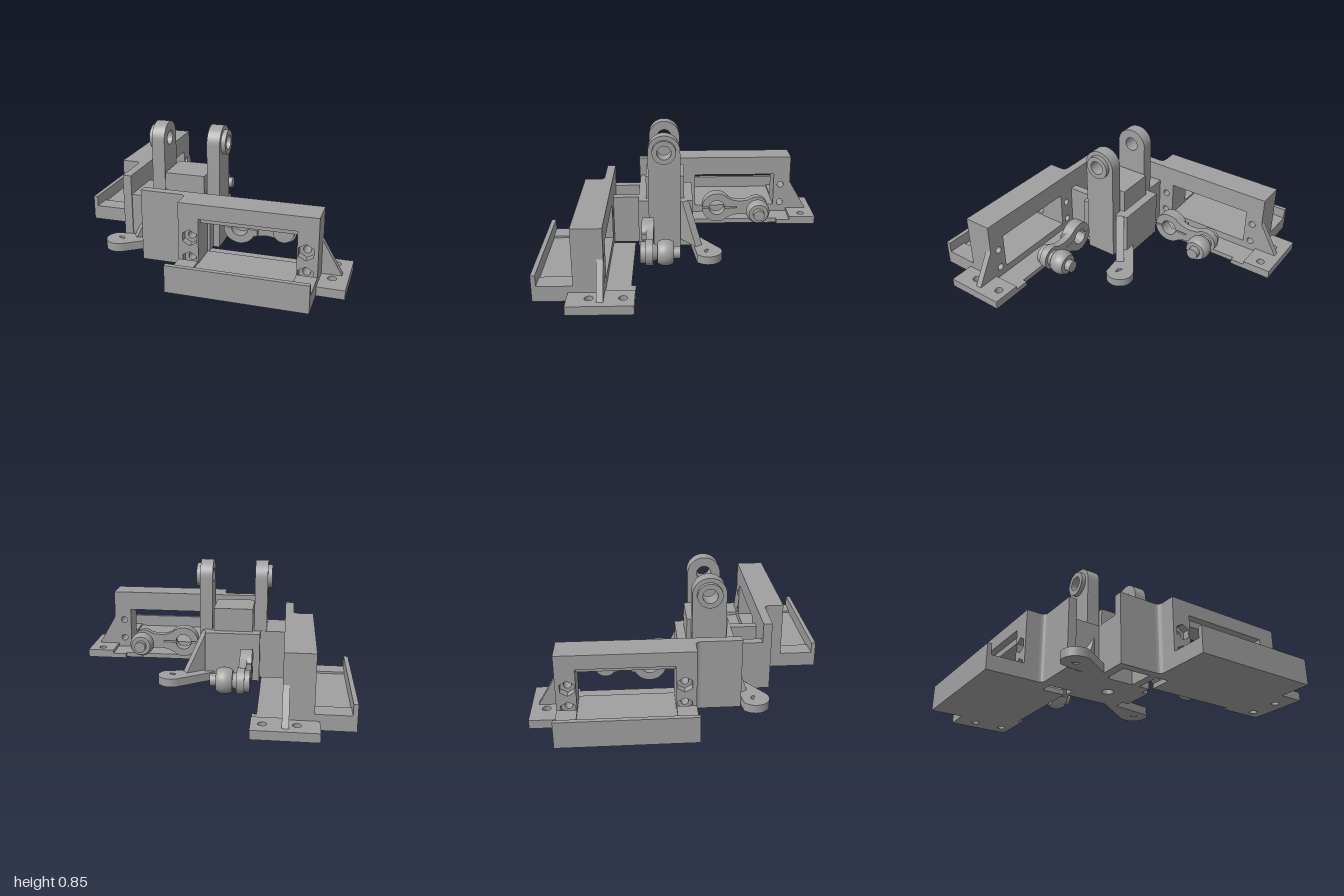
import * as THREE from 'three';
import { toCreasedNormals } from 'three/addons/utils/BufferGeometryUtils.js';

const material = new THREE.MeshStandardMaterial({ color: 0xa0a0a0 });
material.name = 'plastic grey';

// ---- geometry helpers ----
function box(x0, x1, y0, y1, z0, z1) {
  return new THREE.BoxGeometry(x1 - x0, y1 - y0, z1 - z0)
    .translate((x0 + x1) / 2, (y0 + y1) / 2, (z0 + z1) / 2);
}
function poly(points) {
  return new THREE.Shape(points.map(p => new THREE.Vector2(p[0], p[1])));
}
function rect(x0, x1, y0, y1) {
  return poly([[x0, y0], [x1, y0], [x1, y1], [x0, y1]]);
}
function circle(x, y, r) {
  return new THREE.Shape().absarc(x, y, r, 0, Math.PI * 2, false);
}
function hexagon(x, y, r) {
  return poly([0, 1, 2, 3, 4, 5].map(i => {
    const a = Math.PI / 6 + i * Math.PI / 3;
    return [x + r * Math.cos(a), y + r * Math.sin(a)];
  }));
}
function holed(shape, ...holes) {
  shape.holes.push(...holes);
  return shape;
}
// shape drawn in x, y and extruded from z0 to z1
function alongZ(shape, z0, z1) {
  return new THREE.ExtrudeGeometry(shape, { depth: z1 - z0, bevelEnabled: false, curveSegments: 20 })
    .translate(0, 0, z0);
}
// shape drawn in x, -z and extruded upwards
function alongY(shape, y0, y1) {
  return alongZ(shape, y0, y1).rotateX(-Math.PI / 2);
}
// shape drawn in -z, y and extruded in x
function alongX(shape, x0, x1) {
  return alongZ(shape, x0, x1).rotateY(Math.PI / 2);
}
// reflects across the diagonal, keeping the faces outward
function reflect(geometry) {
  const g = geometry.index ? geometry.toNonIndexed() : geometry;
  g.applyMatrix4(new THREE.Matrix4().set(0, 0, -1, 0, 0, 1, 0, 0, -1, 0, 0, 0, 0, 0, 0, 1));
  const p = g.attributes.position;
  const a = new THREE.Vector3(), b = new THREE.Vector3();
  for (let i = 0; i < p.count; i += 3) {
    a.fromBufferAttribute(p, i + 1);
    b.fromBufferAttribute(p, i + 2);
    p.setXYZ(i + 1, b.x, b.y, b.z);
    p.setXYZ(i + 2, a.x, a.y, a.z);
  }
  return g;
}
function add(group, name, geometry, mirrored = false) {
  const g = toCreasedNormals(mirrored ? reflect(geometry) : geometry, 0.6);
  const mesh = new THREE.Mesh(g, material);
  mesh.name = name;
  group.add(mesh);
}

// ---- motor bracket: windowed wall, tray and screw foot ----
function bracket(mirrored) {
  const group = new THREE.Group();
  group.name = mirrored ? 'sideBracket' : 'frontBracket';
  const put = (name, g) => add(group, name, g, mirrored);
  const spots = [[0.01, 0.26], [0.01, 0.11], [0.75, 0.26], [0.75, 0.11]];
  const wall = top => rect(-0.065, 0.825, 0, 0.49);
  put('wallBack', alongZ(holed(wall(), rect(0.068, 0.695, 0.09, 0.348),
    ...spots.map(s => circle(s[0], s[1], 0.025))), 0.545, 0.69));
  put('wallFront', alongZ(holed(wall(), rect(0.068, 0.695, 0.09, 0.392),
    ...spots.map(s => hexagon(s[0], s[1], 0.054))), 0.69, 0.742));
  put('wallExtension', box(-0.37, -0.065, 0, 0.49, 0.545, 0.605));
  const fillet = new THREE.Shape();
  fillet.moveTo(-0.105, -0.605);
  fillet.lineTo(-0.065, -0.605);
  fillet.lineTo(-0.065, -0.645);
  fillet.quadraticCurveTo(-0.065, -0.605, -0.105, -0.605);
  put('wallFillet', alongY(fillet, 0, 0.49));
  // tray with a slightly sunk middle
  put('trayFloor', alongZ(poly([[-0.065, 0], [0.825, 0], [0.825, 0.105], [0.695, 0.105],
    [0.695, 0.09], [0.065, 0.09], [0.065, 0.105], [-0.065, 0.105]]), 0.742, 0.97));
  put('trayLip', box(-0.065, 0.825, 0, 0.18, 0.97, 1));
  put('backFloor', box(0.04, 0.7, 0, 0.035, 0.385, 0.545));
  put('footInner', box(0.7, 0.8, 0, 0.035, 0.355, 0.545));
  put('foot', alongY(holed(poly([[0.8, -0.355], [1, -0.355], [1, -0.775], [0.825, -0.775],
    [0.825, -0.545], [0.8, -0.545]]), circle(0.9, -0.427, 0.028), circle(0.9, -0.637, 0.028)), 0, 0.06));
  put('footGusset', alongZ(poly([[0.82, 0.06], [0.955, 0.06], [0.825, 0.285], [0.82, 0.285]]), 0.545, 0.588));
  return group;
}

// ---- clamped lever with ball joint ----
function lever(mirrored) {
  const group = new THREE.Group();
  group.name = mirrored ? 'sideLever' : 'frontLever';
  const put = (name, g) => add(group, name, g, mirrored);
  const hx = 0.222, y = 0.185, ex = 0.525, R = 0.112, r = 0.058, PI = Math.PI;
  const arm = new THREE.Shape();
  arm.absarc(hx, y, R, -PI + 0.05, -0.9, false);
  arm.quadraticCurveTo(0.36, y - 0.035, 0.47, y - 0.062);
  arm.absarc(ex, y, 0.085, -2.3, 2.3, false);
  arm.quadraticCurveTo(0.36, y + 0.035, hx + R * Math.cos(0.9), y + R * Math.sin(0.9));
  arm.absarc(hx, y, R, 0.9, PI - 0.05, false);
  arm.absarc(hx, y, r, PI - 0.1, 0.1, true);
  arm.lineTo(0.372, y + 0.006);
  arm.lineTo(0.372, y - 0.006);
  arm.absarc(hx, y, r, -0.1, -PI + 0.1, true);
  put('leverArm', alongZ(arm, 0.247, 0.298));
  // split clamp hub
  for (const a of [0, PI]) {
    const half = new THREE.Shape();
    half.absarc(hx, y, R, a + 0.06, a + PI - 0.06, false);
    half.absarc(hx, y, r, a + PI - 0.1, a + 0.1, true);
    put('clampHalf', alongZ(half, 0.298, 0.33));
  }
  for (const s of [-1, 1]) {
    const y0 = y + s * 0.007, y1 = y + s * 0.05;
    put('clampEar', box(0.305, 0.345, Math.min(y0, y1), Math.max(y0, y1), 0.29, 0.33));
  }
  const rod = (r0, r1, z0, z1, n = 32) => new THREE.CylinderGeometry(r1, r0, z1 - z0, n)
    .rotateX(PI / 2).translate(ex, y, (z0 + z1) / 2);
  put('jointNut', rod(0.072, 0.072, 0.298, 0.332));
  put('jointPin', rod(0.041, 0.041, 0.07, 0.3));
  put('jointCollar', rod(0.045, 0.06, 0.215, 0.247));
  // ball with flattened ends
  const profile = [[0, -0.053]];
  for (let i = 0; i <= 14; i++) {
    const a = -0.65 + 1.3 * i / 14;
    profile.push([0.088 * Math.cos(a), 0.088 * Math.sin(a)]);
  }
  profile.push([0, 0.053]);
  put('jointBall', new THREE.LatheGeometry(profile.map(p => new THREE.Vector2(p[0], p[1])), 32)
    .rotateX(PI / 2).translate(ex, y, 0.166));
  return group;
}

// ---- central pivot block ----
function pivot() {
  const group = new THREE.Group();
  group.name = 'pivotBlock';
  const cx = -0.174, cz = 0.167;
  add(group, 'basePlate', alongY(holed(rect(-0.37, 0.022, -0.363, 0.03), circle(cx, -cz, 0.04)), 0, 0.06));
  add(group, 'block', box(-0.37, 0.022, 0.06, 0.35, -0.03, 0.363));
  add(group, 'post', box(-0.315, -0.035, 0.35, 0.517, 0.032, 0.307));
  // links to the two brackets
  add(group, 'frontLink', box(-0.37, -0.308, 0, 0.352, 0.36, 0.546));
  add(group, 'frontLink', box(-0.112, -0.055, 0, 0.352, 0.36, 0.546));
  add(group, 'sideLink', box(-0.55, -0.368, 0, 0.352, 0.05, 0.362));
  // upright lugs with bored bosses
  const lugs = [[-0.415, -0.325, -0.445, -0.415], [-0.022, 0.068, 0.068, 0.098]];
  for (const [x0, x1, b0, b1] of lugs) {
    const lug = new THREE.Shape();
    lug.moveTo(-0.287, 0);
    lug.lineTo(-0.06, 0);
    lug.absarc(-0.1735, 0.732, 0.1135, 0, Math.PI, false);
    add(group, 'lug', alongX(holed(lug, circle(-0.1735, 0.732, 0.05)), x0, x1));
    add(group, 'lugBoss', alongX(holed(circle(-0.1735, 0.732, 0.084), circle(-0.1735, 0.732, 0.05)), b0, b1));
  }
  // two opposite screw feet with sloped ribs
  for (const turn of [0, Math.PI]) {
    const angle = Math.atan2(0.297, 0.424) + turn, reach = 0.518;
    const place = g => g.rotateY(angle).translate(cx, 0, cz);
    const foot = new THREE.Shape();
    foot.moveTo(0.15, -0.097);
    foot.absarc(reach, 0, 0.097, -Math.PI / 2, Math.PI / 2, false);
    foot.lineTo(0.15, 0.097);
    add(group, 'screwFoot', place(alongY(holed(foot, circle(reach, 0, 0.028)), 0, 0.06)));
    add(group, 'footRib', place(alongZ(poly([[0.15, 0.05], [0.41, 0.06], [0.25, 0.35], [0.15, 0.35]]), -0.028, 0.028)));
  }
  return group;
}

export function createModel() {
  const model = new THREE.Group();
  model.name = 'twinMotorMount';
  model.add(pivot(), bracket(false), bracket(true), lever(false), lever(true));
  return model;
}
